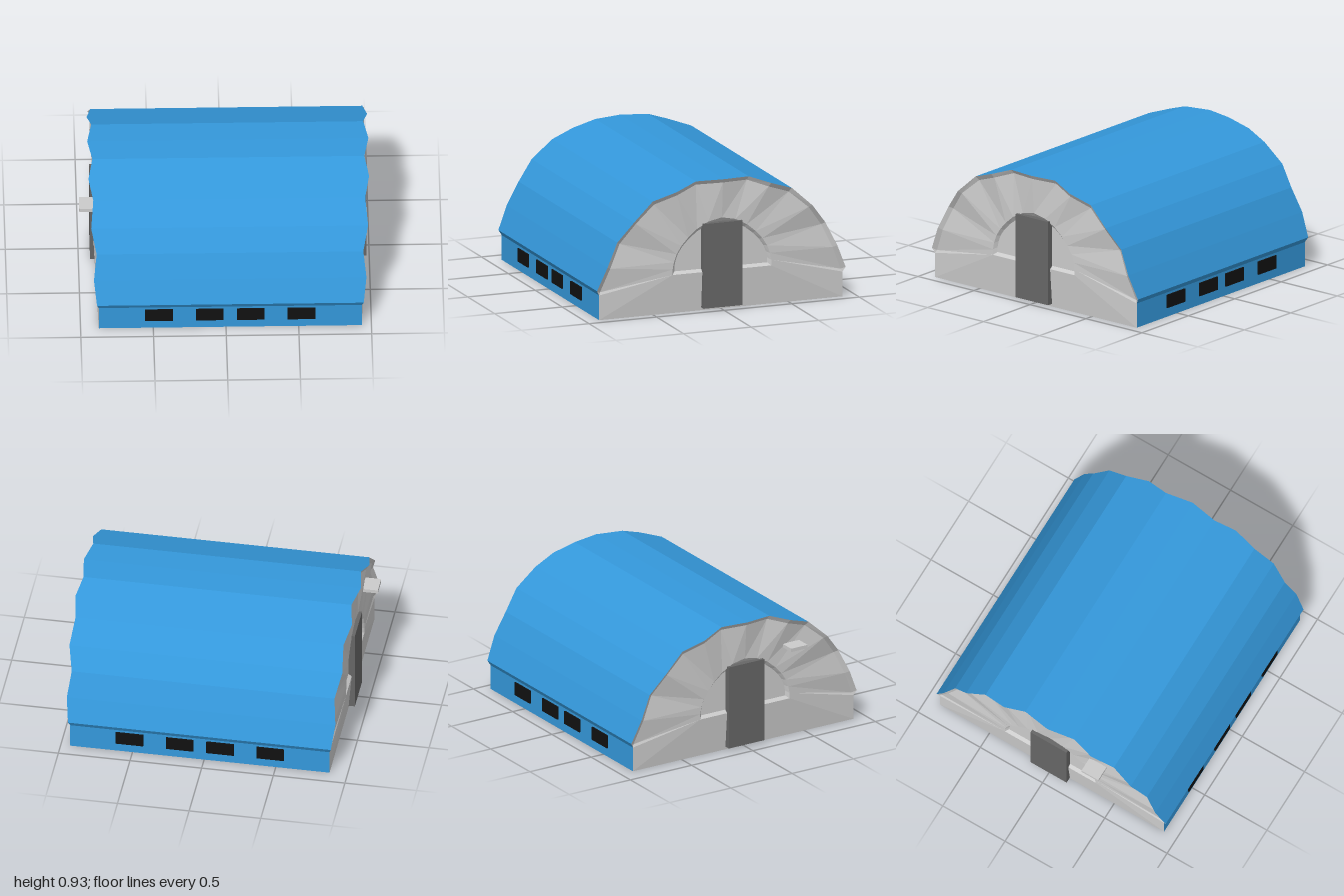
import * as THREE from 'three';

const mat = (color) => new THREE.MeshStandardMaterial({ color, flatShading: true });
const V = (x, y, z) => new THREE.Vector3(x, y, z);

// Surface between two rows of points; faces along (row direction) x (a to b)
function loft(a, b, closed = false) {
  const pos = [];
  const n = closed ? a.length : a.length - 1;
  for (let i = 0; i < n; i++) {
    const j = (i + 1) % a.length;
    for (const tri of [[a[i], a[j], b[j]], [a[i], b[j], b[i]]]) {
      if (new THREE.Triangle(...tri).getArea() < 1e-7) continue;
      for (const p of tri) pos.push(p.x, p.y, p.z);
    }
  }
  const g = new THREE.BufferGeometry();
  g.setAttribute('position', new THREE.Float32BufferAttribute(pos, 3));
  g.computeVertexNormals();
  return g;
}

// Half outlines as [offset along x, y, z], from the ground up to the middle
const HALF_OUTER = [
  [0.905, 0, 0.9], [0.905, 0.175, 0.9], [0.917, 0.21, 0.92], [0.937, 0.375, 0.85],
  [0.917, 0.54, 0.77], [0.952, 0.68, 0.66], [0.935, 0.812, 0.515], [0.965, 0.87, 0.35],
  [0.935, 0.925, 0.195], [0.967, 0.93, 0],
];
const HALF_WINDOW = [
  [0.275, 0.365], [0.275, 0.365], [0.315, 0.365], [0.365, 0.355], [0.42, 0.335],
  [0.475, 0.3], [0.53, 0.25], [0.585, 0.185], [0.63, 0.1], [0.65, 0],
];

const mirror = (half) => [
  ...half,
  ...half.slice(0, -1).reverse().map((p) => V(p.x, p.y, -p.z)),
];

export function createModel() {
  const model = new THREE.Group();
  model.name = 'archedHut';
  const blue = mat(0x3498db), grey = mat(0xcccccc), dark = mat(0x666666), black = mat(0x111111);
  const add = (parent, name, geometry, material) => {
    const mesh = new THREE.Mesh(geometry, material);
    mesh.name = name;
    parent.add(mesh);
    return mesh;
  };
  const box = (parent, name, size, at, material) =>
    add(parent, name, new THREE.BoxGeometry(...size), material).position.set(...at);

  const hut = new THREE.Group();
  hut.name = 'hut';
  hut.position.x = 0.03;
  model.add(hut);

  // Arched roof with its low side walls and eaves
  const outer = mirror(HALF_OUTER.map((p) => V(...p)));
  const opposite = outer.map((p) => V(-p.x, p.y, p.z));
  add(hut, 'roofAndSideWalls', loft(outer, opposite), blue);

  // Floor underside
  const last = outer.length - 1;
  add(hut, 'floor', loft([outer[last], outer[0]], [opposite[last], opposite[0]]), grey);

  // Rim of the roof, folded in towards the end wall
  const rim = mirror(HALF_OUTER.map(([x, y, z], i) =>
    i < 2 ? V(x, y, z) : V(x - 0.02, y - (i > 5 ? 0.028 : 0.015), z * 0.968)));
  const frame = mirror(HALF_WINDOW.map(([y, z]) => V(0.928, y, z)));
  const pane = frame.map((p) => V(0.905, 0.42 + (p.y - 0.42) * 0.87, p.z * 0.94));
  const centre = pane.map(() => V(0.905, 0.4, 0));

  // The two matching ends
  for (const [name, turn] of [['leftEnd', 0], ['rightEnd', Math.PI]]) {
    const end = new THREE.Group();
    end.name = name;
    end.rotation.y = turn;
    hut.add(end);
    add(end, 'roofRim', loft(rim, outer), grey);
    add(end, 'foldedWall', loft(frame, rim, true), grey);
    add(end, 'windowReveal', loft(pane, frame, true), grey);
    add(end, 'windowPane', loft(centre, pane, true), grey);
    box(end, 'door', [0.09, 0.6, 0.29], [0.905, 0.32, 0], dark);
  }

  // Small windows along both side walls
  for (const side of [1, -1]) {
    for (const x of [-0.462, -0.112, 0.17, 0.52]) {
      box(model, 'sideWindow', [0.192, 0.094, 0.03], [x, 0.112, side * 0.895], black);
    }
  }

  // Ledge on one end
  box(model, 'ledge', [0.15, 0.025, 0.135], [-0.925, 0.675, 0.38], grey);
  return model;
}
